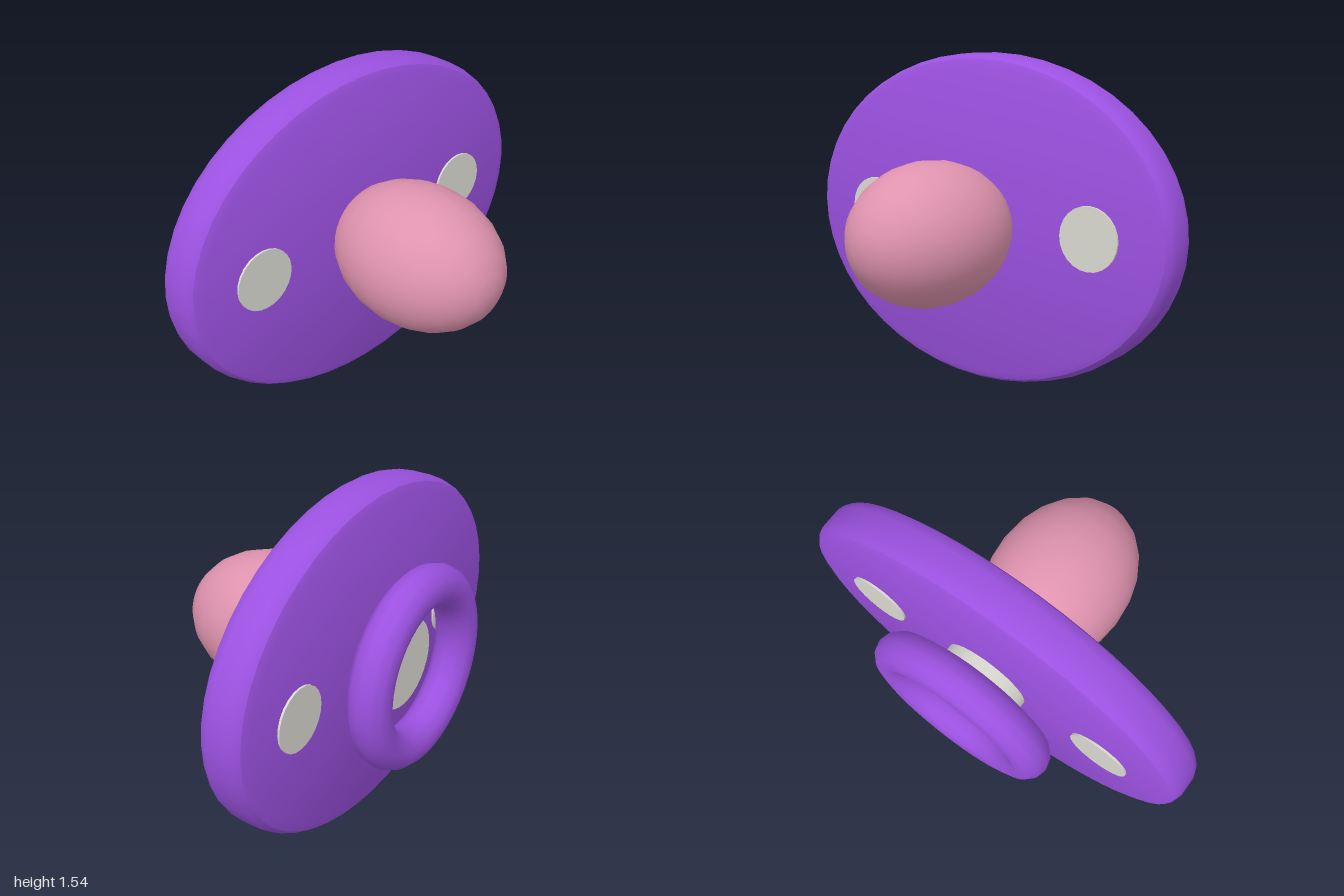
import * as THREE from 'three';
import { toCreasedNormals } from 'three/addons/utils/BufferGeometryUtils.js';

const MID = 0.77; // height of the central axis

export function createModel() {
  const model = new THREE.Group();
  const mat = (name, color) => {
    const m = new THREE.MeshStandardMaterial({ color });
    m.name = name;
    return m;
  };
  const purple = mat('purple plastic', 0x9b51e0);
  const pink = mat('pink rubber', 0xdf93ae);
  const grey = mat('light grey plastic', 0xd9d8d0);

  const add = (name, geometry, material, x, z) => {
    const mesh = new THREE.Mesh(geometry, material);
    mesh.name = name;
    mesh.position.set(x, MID, z);
    model.add(mesh);
    return mesh;
  };
  // Cylinder lying along z
  const disc = (r, depth, sides) => new THREE.CylinderGeometry(r, r, depth, sides).rotateX(Math.PI / 2);

  // Oval shield with a rounded rim
  const profile = [
    [0, -0.11], [0.93, -0.11], [0.972, -0.096], [0.99, -0.075], [1, -0.045],
    [1, 0.045], [0.99, 0.075], [0.972, 0.096], [0.93, 0.11], [0, 0.11],
  ].map(([r, h]) => new THREE.Vector2(r, h));
  const shield = new THREE.LatheGeometry(profile, 48).rotateX(Math.PI / 2).scale(1, MID, 1);
  add('shield', toCreasedNormals(shield, 0.5), purple, 0, -0.245);

  // Egg-shaped teat
  const teat = new THREE.SphereGeometry(1, 32, 12).rotateX(Math.PI / 2).scale(0.325, 0.325, 0.43);
  add('teat', teat, pink, 0, 0.2);

  // Plugs passing through the shield on both sides
  for (const side of [-1, 1]) {
    add(side > 0 ? 'leftPlug' : 'rightPlug', disc(0.146, 0.24, 24), grey, side * 0.61, -0.245);
  }

  // Hub and ring handle on the back
  add('hub', disc(0.208, 0.2, 32), grey, 0, -0.388);
  add('ringHandle', new THREE.TorusGeometry(0.37, 0.094, 12, 40), purple, 0, -0.538);

  return model;
}
